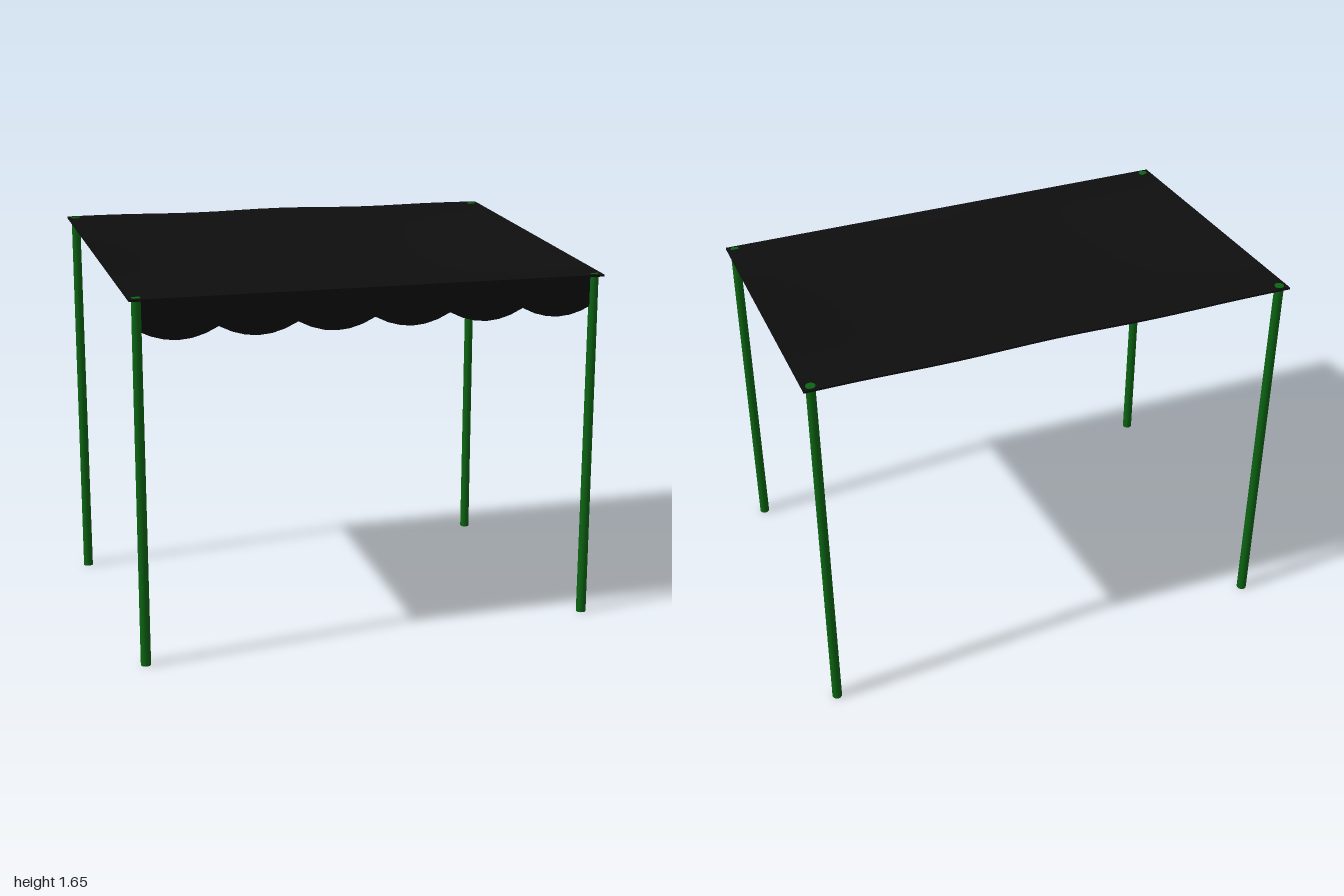
import * as THREE from 'three';

export function createModel() {
  const group = new THREE.Group();
  const cloth = new THREE.MeshStandardMaterial({ color: 0x0e0e0e, side: THREE.DoubleSide });
  const green = new THREE.MeshStandardMaterial({ color: 0x0b6412 });
  const add = (geometry, material, name) => {
    const mesh = new THREE.Mesh(geometry, material);
    mesh.name = name;
    group.add(mesh);
    return mesh;
  };

  // Sloping canopy: straight side edges, sagging towards the middle
  const halfX = 1, halfZ = 0.675;
  const bulge = (t) => 1 - Math.abs(t) ** 2.4;
  const canopy = new THREE.BoxGeometry(2 * halfX, 0.008, 2 * halfZ, 20, 1, 16);
  const p = canopy.attributes.position;
  for (let i = 0; i < p.count; i++) {
    const u = p.getX(i) / halfX, v = p.getZ(i) / halfZ;
    const slope = 1.563 - 0.082 * v;
    const sag = 0.07 * bulge(u) * bulge(v);
    // faint ripple along the high back edge
    const ripple = 0.004 * Math.cos(u * 7) * bulge(u) * (1 - v) / 2;
    p.setY(i, p.getY(i) + slope - sag + ripple);
  }
  canopy.computeVertexNormals();
  add(canopy, cloth, 'canopy');

  // Scalloped valance hanging between the front posts
  const scallops = 6, halfW = 0.967, step = (2 * halfW) / scallops;
  const outline = new THREE.Shape();
  outline.moveTo(halfW, 1.472);
  outline.lineTo(-halfW, 1.472);
  for (let s = 0; s < scallops; s++) {
    for (let k = 0; k <= 6; k++) {
      const t = k / 6;
      outline.lineTo(-halfW + (s + t) * step, 1.36 - 0.045 * (1 - (2 * t - 1) ** 2));
    }
  }
  outline.closePath();
  const valance = new THREE.ExtrudeGeometry(outline, { depth: 0.006, bevelEnabled: false });
  valance.translate(0, 0, 0.642);
  add(valance, cloth, 'valance');

  // Four round posts, the back pair taller
  for (const [z, height, row] of [[0.645, 1.489, 'front'], [-0.645, 1.649, 'back']]) {
    for (const [side, label] of [[1, 'Left'], [-1, 'Right']]) {
      const post = add(new THREE.CylinderGeometry(0.019, 0.021, height, 12), green, row + label + 'Post');
      post.position.set(side * 0.967, height / 2, z);
    }
  }
  return group;
}
